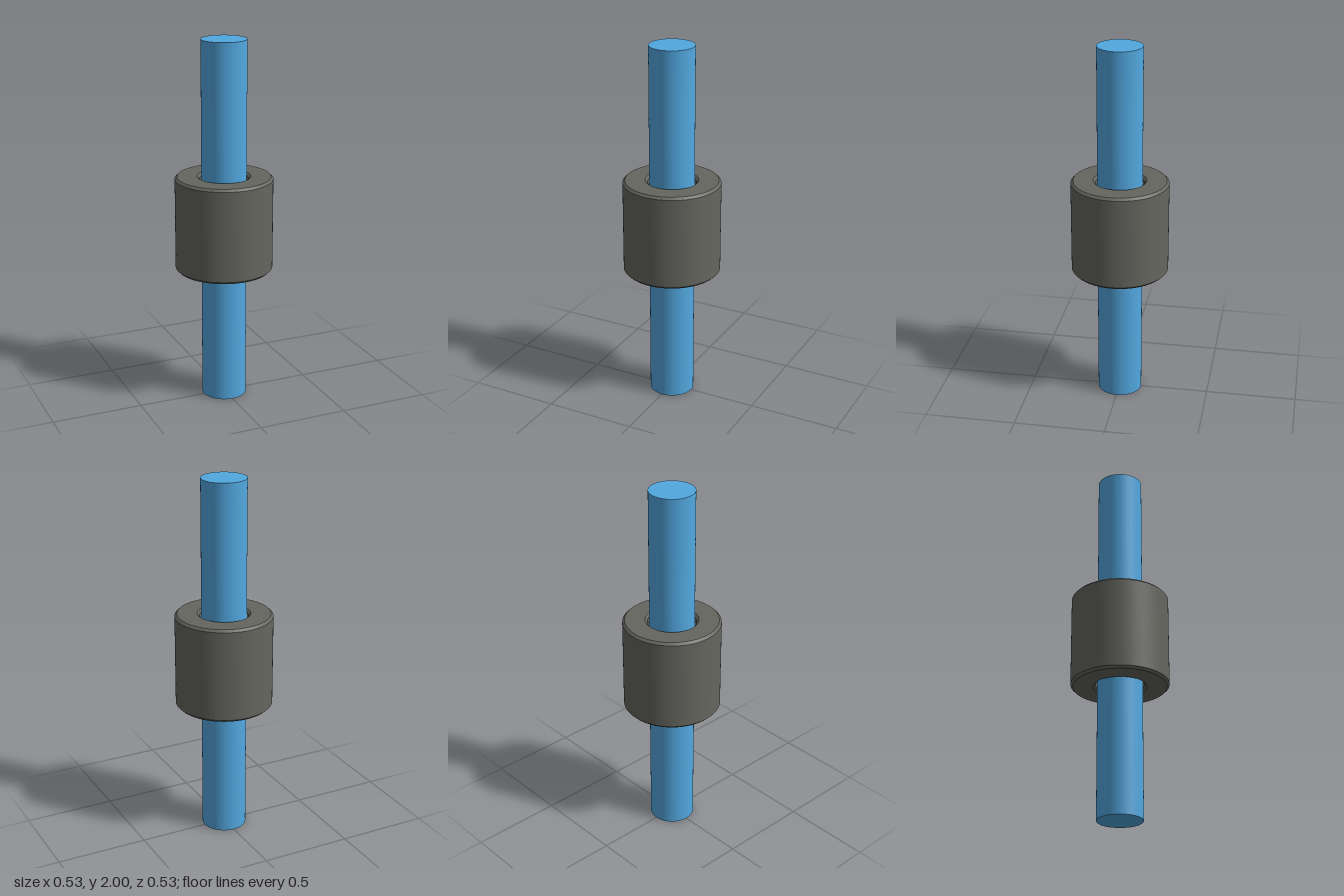
import * as THREE from 'three';
import { toCreasedNormals } from 'three/addons/utils/BufferGeometryUtils.js';

const SEGMENTS = 96;

export function createModel() {
  const model = new THREE.Group();
  model.name = 'shaftWithSleeve';

  const blue = new THREE.MeshStandardMaterial({ color: 0x52a8e0 });
  blue.name = 'blue';
  const gray = new THREE.MeshStandardMaterial({ color: 0x666660 });
  gray.name = 'dark gray';

  // Straight solid rod
  const rodRadius = 0.122;
  const rod = new THREE.Mesh(new THREE.CylinderGeometry(rodRadius, rodRadius, 2, SEGMENTS), blue);
  rod.name = 'rod';
  rod.position.y = 1;
  model.add(rod);

  // Sleeve: chamfered outside and bore, with a shallow recess at both ends of the bore
  const outer = 0.265, bore = 0.131, half = 0.262, chamfer = 0.013, recess = 0.04;
  const upper = [
    [outer, half - chamfer],
    [outer - chamfer, half],
    [bore + chamfer, half],
    [bore, half - chamfer],
    [bore, half - recess],
    [rodRadius, half - recess],
  ];
  const lower = upper.map(([r, y]) => [r, -y]).reverse();
  const profile = [...upper, ...lower, upper[0]].map(([r, y]) => new THREE.Vector2(r, y));
  const sleeve = new THREE.Mesh(
    toCreasedNormals(new THREE.LatheGeometry(profile, SEGMENTS), Math.PI / 6),
    gray
  );
  sleeve.name = 'sleeve';
  sleeve.position.y = 1;
  model.add(sleeve);

  return model;
}
